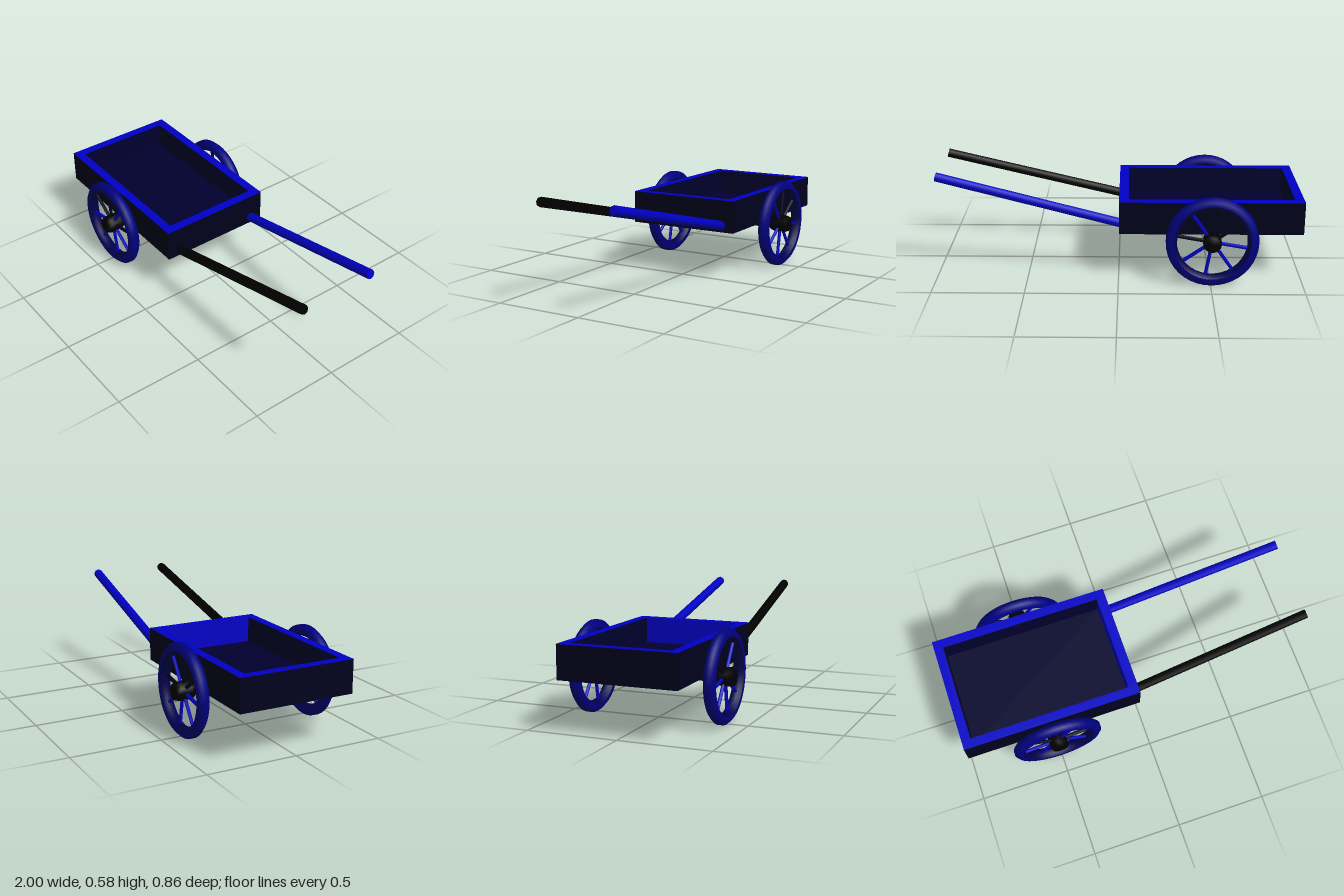
import * as THREE from 'three';

const paint = (name, hex) => {
  const m = new THREE.MeshStandardMaterial({ color: hex });
  m.name = name;
  return m;
};

export function createModel() {
  const mat = {
    navy: paint('dark navy', 0x00001c),
    floor: paint('floor navy', 0x00002e),
    blue: paint('bright blue', 0x0000c8),
    wheel: paint('wheel blue', 0x000080),
    axle: paint('axle blue', 0x00004c),
    black: paint('black', 0x000000),
  };
  const cart = new THREE.Group();
  cart.name = 'handcart';

  const add = (parent, name, geometry, material, x = 0, y = 0, z = 0) => {
    const mesh = new THREE.Mesh(geometry, material);
    mesh.name = name;
    mesh.position.set(x, y, z);
    parent.add(mesh);
    return mesh;
  };
  const box = (parent, name, w, h, d, material, x, y, z) =>
    add(parent, name, new THREE.BoxGeometry(w, h, d), material, x, y, z);

  // Rod between two points
  const rod = (parent, name, a, b, r, sides, material) => {
    const dir = b.clone().sub(a);
    const mesh = add(parent, name, new THREE.CylinderGeometry(r, r, dir.length(), sides), material);
    mesh.position.copy(a).add(b).multiplyScalar(0.5);
    mesh.quaternion.setFromUnitVectors(new THREE.Vector3(0, 1, 0), dir.normalize());
  };

  // Tray: base, four walls, floor and painted rim
  const tray = new THREE.Group();
  tray.name = 'tray';
  cart.add(tray);
  const L = 0.997, W = 0.648, T = 0.05, cx = -0.5015;
  const y0 = 0.275, yFloor = 0.315, yTop = 0.457, rim = 0.001, skin = 0.002;
  const wallH = yTop - rim - y0, wallY = y0 + wallH / 2;
  const innerH = yTop - rim - yFloor, innerY = yFloor + innerH / 2;
  box(tray, 'base', L - 2 * T, yFloor - 0.005 - y0, W - 2 * T, mat.navy, cx, (y0 + yFloor - 0.005) / 2, 0);
  box(tray, 'floor', L - 2 * T, 0.005, W - 2 * T, mat.floor, cx, yFloor - 0.0025, 0);
  for (const s of [-1, 1]) {
    const z = s * (W - T) / 2, x = cx + s * (L - T) / 2;
    box(tray, 'sideWall', L, wallH, T, mat.navy, cx, wallY, z);
    box(tray, 'endWall', T, wallH, W - 2 * T, mat.navy, x, wallY, 0);
    box(tray, 'sideRim', L, rim, T, mat.blue, cx, yTop - rim / 2, z);
    box(tray, 'endRim', T, rim, W - 2 * T, mat.blue, x, yTop - rim / 2, 0);
    // Inner linings, bright on the handle end
    box(tray, 'sideLining', L - 2 * T, innerH, skin, mat.floor, cx, innerY, s * (W / 2 - T - skin / 2));
    box(tray, 'endLining', skin, innerH, W - 2 * T - 2 * skin, s > 0 ? mat.blue : mat.floor,
      cx + s * (L / 2 - T - skin / 2), innerY, 0);
  }

  // Handles, rising and converging slightly
  for (const s of [-1, 1]) {
    rod(cart, s > 0 ? 'frontHandle' : 'backHandle',
      new THREE.Vector3(-0.02, 0.309, s * 0.25), new THREE.Vector3(0.993, 0.561, s * 0.22),
      0.026, 8, s > 0 ? mat.black : mat.blue);
  }

  // Axle
  const wx = -0.504, wy = 0.253;
  rod(cart, 'axle', new THREE.Vector3(wx, wy - 0.003, -0.35), new THREE.Vector3(wx, wy - 0.003, 0.35),
    0.03, 12, mat.axle);

  // Part of the octagonal tyre section, from corner i0 to corner i1
  const tyreBand = (i0, i1) => {
    const pts = [];
    for (let i = i0; i <= i1; i++) {
      const t = (i - 0.5) * Math.PI / 4;
      pts.push(new THREE.Vector2(0.22 + 0.0325 * Math.cos(t), 0.0325 * Math.sin(t)));
    }
    return new THREE.LatheGeometry(pts, 40);
  };

  // Wheels: tyre with darker inner rim, hub and eight spokes, three of them dark
  const hubProfile = [[0, -0.054], [0.042, -0.054], [0.051, -0.03], [0.051, 0.03], [0.042, 0.054], [0, 0.054]]
    .map(([r, y]) => new THREE.Vector2(r, y));
  const darkSpokes = [0, 2, 3];
  for (const s of [-1, 1]) {
    const wheel = new THREE.Group();
    wheel.name = s > 0 ? 'frontWheel' : 'backWheel';
    wheel.position.set(wx, wy, s * 0.375);
    cart.add(wheel);
    add(wheel, 'tyre', tyreBand(-2, 3), mat.wheel).rotation.x = Math.PI / 2;
    add(wheel, 'innerRim', tyreBand(3, 6), mat.axle).rotation.x = Math.PI / 2;
    add(wheel, 'hub', new THREE.LatheGeometry(hubProfile, 12), mat.black).rotation.x = Math.PI / 2;
    for (let i = 0; i < 8; i++) {
      const a = (10 + i * 45) * Math.PI / 180;
      const at = (r) => new THREE.Vector3(Math.cos(a) * r, Math.sin(a) * r, 0);
      rod(wheel, 'spoke', at(0.03), at(0.2), 0.01, 6, darkSpokes.includes(i) ? mat.navy : mat.blue);
    }
  }
  return cart;
}
